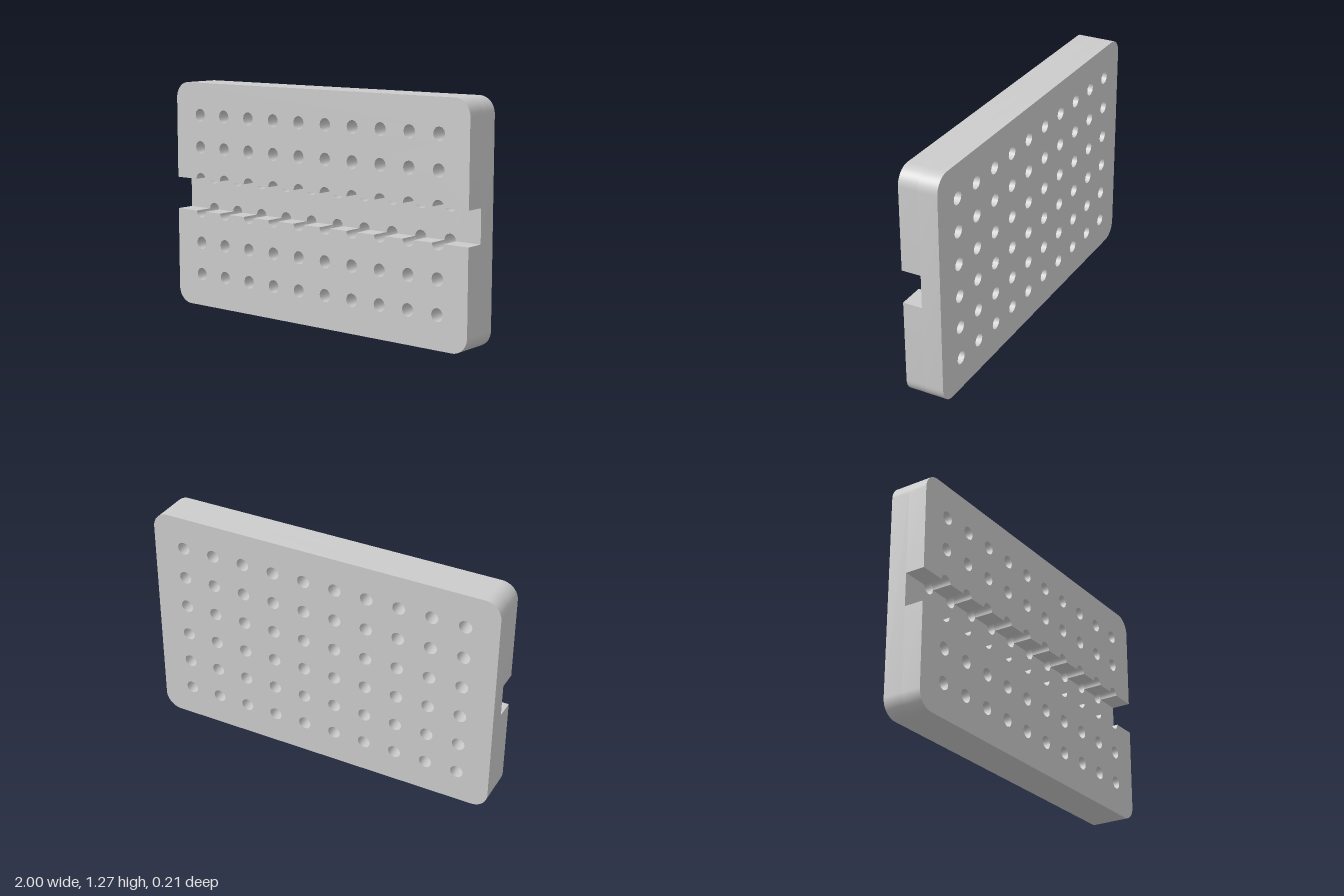
import * as THREE from 'three';
import { toCreasedNormals } from 'three/addons/utils/BufferGeometryUtils.js';

const PITCH = 2 / 11;          // spacing of the hole grid
const HEIGHT = 7 * PITCH;
const HALF_DEPTH = 0.107;
const CORNER = 0.09;
const HOLE = 0.036;
const SLOT_BOTTOM = 3 * PITCH; // the slot runs between the two middle hole rows
const columns = Array.from({ length: 10 }, (_, i) => (i - 4.5) * PITCH);

function addHoles(shape, rows) {
  for (const row of rows) {
    for (const x of columns) {
      shape.holes.push(new THREE.Path().absarc(x, row * PITCH, HOLE, 0, Math.PI * 2, true));
    }
  }
  return shape;
}

// Rounded bottom edge, shared by both outlines
function startOutline() {
  const s = new THREE.Shape();
  s.moveTo(-1, CORNER);
  s.absarc(-1 + CORNER, CORNER, CORNER, Math.PI, Math.PI * 1.5, false);
  s.absarc(1 - CORNER, CORNER, CORNER, Math.PI * 1.5, Math.PI * 2, false);
  return s;
}

function backShape() {
  const s = startOutline();
  s.absarc(1 - CORNER, HEIGHT - CORNER, CORNER, 0, Math.PI / 2, false);
  s.absarc(-1 + CORNER, HEIGHT - CORNER, CORNER, Math.PI / 2, Math.PI, false);
  s.closePath();
  return addHoles(s, [1, 2, 3, 4, 5, 6]);
}

// Front block below the slot; half holes notch its slot edge
function blockShape() {
  const s = startOutline();
  s.lineTo(1, SLOT_BOTTOM);
  for (const x of [...columns].reverse()) {
    s.lineTo(x + HOLE, SLOT_BOTTOM);
    s.absarc(x, SLOT_BOTTOM, HOLE, 0, -Math.PI, true);
  }
  s.lineTo(-1, SLOT_BOTTOM);
  s.closePath();
  return addHoles(s, [1, 2]);
}

function extrude(shape) {
  const geometry = new THREE.ExtrudeGeometry(shape, {
    depth: HALF_DEPTH, bevelEnabled: false, curveSegments: 6,
  });
  return toCreasedNormals(geometry, 0.6);
}

export function createModel() {
  const group = new THREE.Group();
  group.name = 'perforatedPlate';
  const material = new THREE.MeshStandardMaterial({ color: 0xcccccc });

  const back = new THREE.Mesh(extrude(backShape()), material);
  back.name = 'backPlate';
  back.position.z = -HALF_DEPTH;

  const block = extrude(blockShape());
  const lower = new THREE.Mesh(block, material);
  lower.name = 'lowerFrontBlock';

  // The upper block is the lower one turned half way round
  const upper = new THREE.Mesh(block, material);
  upper.name = 'upperFrontBlock';
  upper.rotation.z = Math.PI;
  upper.position.y = HEIGHT;

  group.add(back, lower, upper);
  return group;
}
